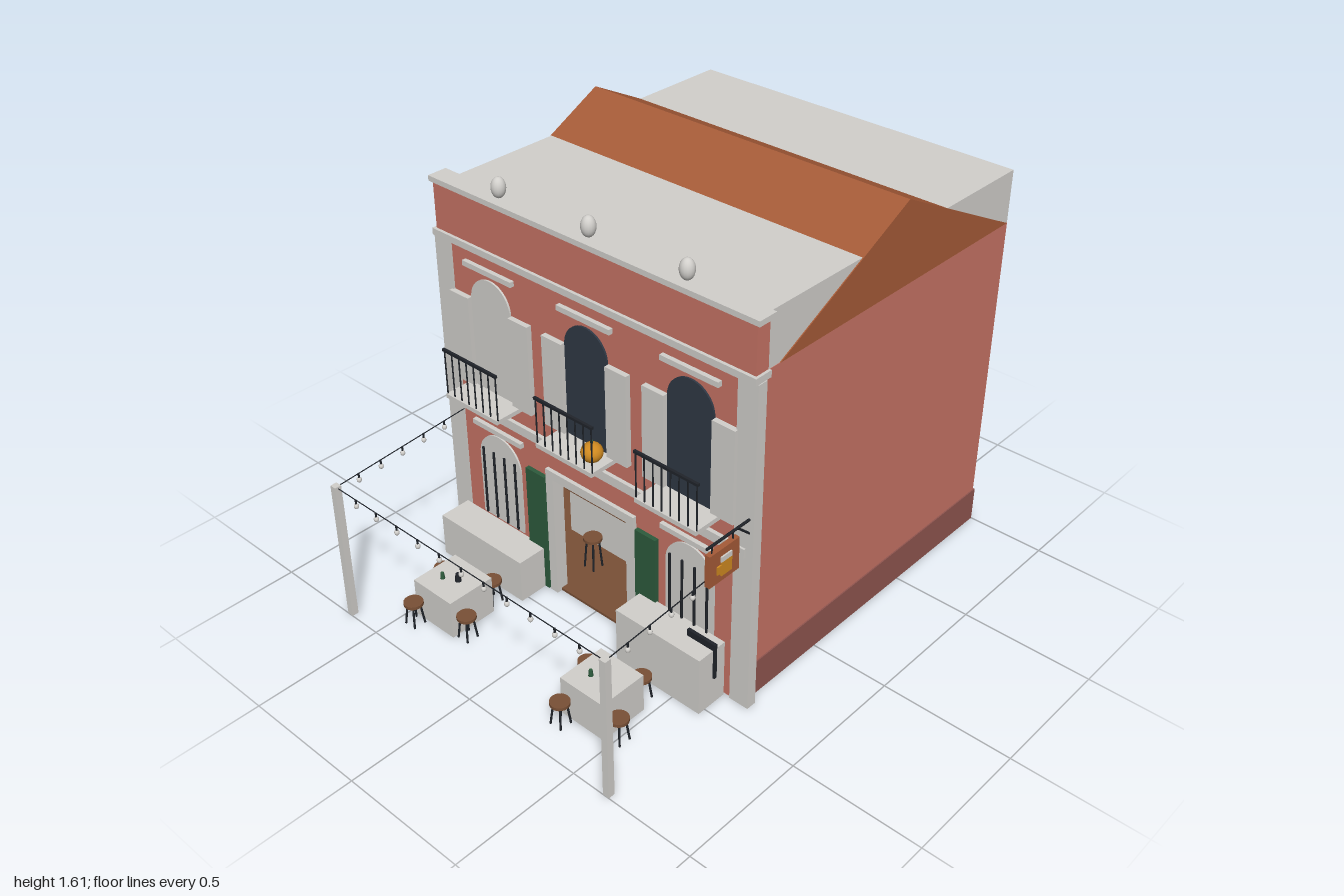
import * as THREE from 'three';

const paint = (name, color) => {
  const m = new THREE.MeshStandardMaterial({ color });
  m.name = name;
  return m;
};

export function createModel() {
  const stone = paint('pale stone', 0xd2d0cc);
  const wall = paint('pink plaster', 0xc87465);
  const plinth = paint('dark pink plinth', 0x90554f);
  const tile = paint('roof tile', 0xa65b38);
  const wood = paint('wood', 0x795036);
  const glass = paint('navy glass', 0x2f3844);
  const iron = paint('black iron', 0x20242a);
  const green = paint('green', 0x2d5b3d);
  const amber = paint('amber', 0xd08a20);
  const red = paint('soft red', 0xb5524a);

  const root = new THREE.Group();
  root.name = 'cafeBuilding';
  const group = (name, parent = root) => {
    const g = new THREE.Group();
    g.name = name;
    parent.add(g);
    return g;
  };
  const add = (p, name, geo, mat, x = 0, y = 0, z = 0) => {
    const m = new THREE.Mesh(geo, mat);
    m.name = name;
    m.position.set(x, y, z);
    p.add(m);
    return m;
  };
  // box given by its limits
  const box = (p, name, mat, x0, x1, y0, y1, z0, z1) =>
    add(p, name, new THREE.BoxGeometry(x1 - x0, y1 - y0, z1 - z0), mat, (x0 + x1) / 2, (y0 + y1) / 2, (z0 + z1) / 2);
  // thin rod between two points
  const rod = (p, name, mat, a, b, r = 0.003) => {
    const A = new THREE.Vector3(...a), B = new THREE.Vector3(...b), d = B.clone().sub(A);
    const m = add(p, name, new THREE.CylinderGeometry(r, r, d.length(), 6), mat);
    m.position.copy(A).add(B).multiplyScalar(0.5);
    m.quaternion.setFromUnitVectors(new THREE.Vector3(0, 1, 0), d.normalize());
    return m;
  };
  const ball = (p, name, mat, x, y, z, r, sy = 1) => {
    const m = add(p, name, new THREE.SphereGeometry(r, 16, 12), mat, x, y, z);
    m.scale.y = sy;
    return m;
  };
  const arch = (p, name, mat, x, y0, y1, r, z, depth) => {
    const s = new THREE.Shape();
    s.moveTo(-r, y0);
    s.lineTo(r, y0);
    s.lineTo(r, y1 - r);
    s.absarc(0, y1 - r, r, 0, Math.PI, false);
    s.closePath();
    return add(p, name, new THREE.ExtrudeGeometry(s, { depth, bevelEnabled: false, curveSegments: 16 }), mat, x, 0, z);
  };

  // walls, with the doorway cut out of the front
  const shell = group('walls');
  const face = new THREE.Shape();
  [[-0.69, 0], [-0.18, 0], [-0.18, 0.51], [0.18, 0.51], [0.18, 0], [0.69, 0], [0.69, 1.29], [-0.69, 1.29]]
    .forEach(([x, y], i) => (i ? face.lineTo(x, y) : face.moveTo(x, y)));
  add(shell, 'frontWall', new THREE.ExtrudeGeometry(face, { depth: 0.035, bevelEnabled: false }), wall, 0, 0, 0.36);
  for (const s of [-1, 1]) {
    const x0 = s < 0 ? -0.69 : 0.66;
    box(shell, 'sideWall', wall, x0, x0 + 0.03, 0.14, 1.29, -0.995, 0.36);
    const b0 = s < 0 ? -0.695 : 0.66;
    box(shell, 'sidePlinth', plinth, b0, b0 + 0.035, 0, 0.14, -1, 0.36);
    const p0 = s < 0 ? -0.725 : 0.645;
    box(shell, 'pilaster', stone, p0, p0 + 0.08, 0, 1.29, 0.362, 0.402);
  }
  box(shell, 'backWall', wall, -0.66, 0.66, 0.14, 1.29, -0.995, -0.96);
  box(shell, 'backPlinth', plinth, -0.66, 0.66, 0, 0.14, -1, -0.96);
  box(shell, 'floor', wood, -0.66, 0.66, 0.002, 0.012, -0.96, 0.39);
  box(shell, 'ceiling', stone, -0.66, 0.66, 0.58, 0.6, -0.96, 0.36);

  // attic block, gabled roof and parapet
  const roof = group('roof');
  box(roof, 'attic', stone, -0.688, 0.688, 1.29, 1.49, -0.998, 0.345);
  const gable = new THREE.Shape();
  gable.moveTo(-0.26, 1.291);
  gable.lineTo(0.99, 1.291);
  gable.lineTo(0.365, 1.607);
  gable.closePath();
  add(roof, 'gabledRoof', new THREE.ExtrudeGeometry(gable, { depth: 1.384, bevelEnabled: false }), tile, -0.692).rotation.y = Math.PI / 2;
  box(roof, 'cornice', stone, -0.722, 0.722, 1.29, 1.315, 0.34, 0.412);
  box(roof, 'parapet', wall, -0.712, 0.712, 1.315, 1.49, 0.343, 0.4);
  box(roof, 'parapetCap', stone, -0.725, 0.725, 1.49, 1.51, 0.33, 0.408);
  for (const x of [-0.413, 0, 0.413]) ball(roof, 'finial', stone, x, 1.552, 0.37, 0.026, 1.45);

  // upper windows with shutters and balconies
  [-0.457, 0, 0.457].forEach((x, i) => {
    const w = group('upperWindow');
    arch(w, 'windowPane', i ? glass : stone, x, 0.745, 1.198, 0.097, 0.39, 0.012);
    for (const s of [-1, 1]) {
      const c = x + s * 0.147;
      box(w, 'shutter', stone, c - 0.047, c + 0.047, 0.745, 1.1, 0.39, 0.416);
    }
    box(w, 'lintel', stone, x - 0.12, x + 0.12, 1.222, 1.242, 0.39, 0.412);
    const b = group('balcony', w);
    box(b, 'balconySlab', stone, x - 0.132, x + 0.132, 0.73, 0.747, 0.39, 0.52);
    box(b, 'handrail', iron, x - 0.136, x + 0.136, 0.92, 0.93, 0.508, 0.518);
    for (let k = 0; k < 8; k++) {
      const bx = x - 0.13 + k * 0.26 / 7;
      rod(b, 'baluster', iron, [bx, 0.745, 0.513], [bx, 0.925, 0.513]);
    }
  });
  ball(root, 'pumpkin', amber, 0.087, 0.788, 0.47, 0.039, 0.92);
  rod(root, 'pumpkinStem', green, [0.087, 0.82, 0.47], [0.087, 0.835, 0.47], 0.005);
  box(root, 'beltCourse', stone, -0.695, 0.695, 0.632, 0.668, 0.36, 0.41);

  // ground floor windows with bars
  for (const x of [-0.46, 0.46]) {
    const w = group('lowerWindow');
    arch(w, 'windowPanel', stone, x, 0.18, 0.555, 0.107, 0.39, 0.012);
    for (const dx of [-0.083, -0.028, 0.028, 0.083])
      rod(w, 'windowBar', iron, [x + dx, 0.19, 0.408], [x + dx, 0.482, 0.408], 0.005);
    box(w, 'lintel', stone, x - 0.125, x + 0.125, 0.57, 0.59, 0.39, 0.412);
  }

  // doorway
  const door = group('doorway');
  for (const s of [-1, 1]) {
    box(door, 'doorJamb', stone, s * 0.195 - 0.018, s * 0.195 + 0.018, 0, 0.545, 0.36, 0.41);
    box(door, 'doorLeaf', green, s * 0.267 - 0.047, s * 0.267 + 0.047, 0, 0.502, 0.39, 0.412);
  }
  box(door, 'doorHead', stone, -0.177, 0.177, 0.51, 0.545, 0.36, 0.41);

  // stools with splayed legs
  const stool = (x, z, h = 0.1) => {
    const g = group('stool');
    add(g, 'stoolSeat', new THREE.CylinderGeometry(0.036, 0.036, 0.012, 20), wood, x, h - 0.006, z);
    for (let k = 0; k < 4; k++) {
      const a = Math.PI / 4 + k * Math.PI / 2, c = Math.cos(a), s = Math.sin(a);
      rod(g, 'stoolLeg', iron, [x + c * 0.022, h - 0.01, z + s * 0.022], [x + c * 0.034, 0.001, z + s * 0.034], 0.004);
    }
  };
  const bottle = (p, mat, x, y, z, h = 0.025, r = 0.008) =>
    add(p, 'bottle', new THREE.CylinderGeometry(r * 0.7, r, h, 10), mat, x, y + h / 2, z);

  // bar inside
  const bar = group('barInterior');
  box(bar, 'rearPartition', wall, -0.66, 0.66, 0.012, 0.58, -0.24, -0.22);
  box(bar, 'counter', stone, -0.4, 0.4, 0.012, 0.205, -0.02, 0.12);
  box(bar, 'counterTop', wood, -0.41, 0.41, 0.205, 0.217, -0.03, 0.13);
  box(bar, 'menuBoard', stone, -0.2, -0.02, 0.34, 0.47, -0.22, -0.212);
  const colours = [glass, red, stone, iron, amber, green];
  [0.27, 0.36, 0.495].forEach((y, j) => {
    box(bar, 'shelf', wood, -0.4, 0.4, y - 0.012, y, -0.22, -0.14);
    for (let k = 0; k < 14; k++)
      bottle(bar, colours[(k * 5 + j * 2) % 6], -0.36 + k * 0.055, y, -0.17, j === 2 ? 0.02 : 0.045, 0.011);
  });
  box(bar, 'beerTap', wood, -0.09, -0.07, 0.217, 0.275, 0.05, 0.07);
  for (const x of [0.06, 0.1]) bottle(bar, amber, x, 0.217, 0.06, 0.025, 0.01);
  ball(bar, 'hangingLamp', stone, -0.12, 0.482, 0.2, 0.02, 1.2);
  rod(bar, 'lampCord', iron, [-0.12, 0.5, 0.2], [-0.12, 0.58, 0.2]);
  stool(0.17, 0.22, 0.15);
  stool(-0.18, 0.22, 0.15);

  // terrace benches
  box(root, 'leftBench', stone, -0.665, -0.24, 0, 0.175, 0.402, 0.53);
  box(root, 'rightBench', stone, 0.24, 0.62, 0, 0.235, 0.402, 0.53);
  box(root, 'benchPanel', iron, 0.505, 0.628, 0.115, 0.262, 0.45, 0.462);

  // tables, bottles and stools
  for (const x of [-0.373, 0.372]) {
    const t = group('table');
    box(t, 'tableBlock', stone, x - 0.098, x + 0.098, 0, 0.155, 0.638, 0.832);
    bottle(t, x < 0 ? iron : red, x + 0.022, 0.155, 0.728, 0.032, 0.012);
    bottle(t, green, x - 0.03, 0.155, 0.756, 0.026, 0.009);
    for (const [dx, z] of [[-0.132, 0.67], [0.053, 0.6], [0.133, 0.793], [-0.063, 0.87]]) stool(x + dx, z);
  }

  // posts and strings of lights
  const lights = group('stringLights');
  const string = (a, b, n) => {
    rod(lights, 'lightCord', iron, a, b, 0.002);
    for (let k = 1; k < n; k++) {
      const p = a.map((v, i) => v + (b[i] - v) * k / n);
      ball(lights, 'bulb', stone, p[0], p[1] - 0.026, p[2], 0.009, 1.2);
      rod(lights, 'bulbHolder', iron, [p[0], p[1] - 0.018, p[2]], p, 0.004);
    }
  };
  for (const s of [-1, 1]) {
    const x = s * 0.645;
    box(lights, 'post', stone, x - 0.013, x + 0.013, 0, 0.57, 0.974, 1);
    string([x, 0.562, 0.987], [x, 0.6, 0.4], 6);
  }
  string([-0.645, 0.562, 0.987], [0.645, 0.562, 0.987], 12);

  // hanging sign
  const sign = group('hangingSign');
  box(sign, 'signBoard', tile, 0.697, 0.717, 0.638, 0.762, 0.46, 0.6);
  for (const x of [0.6945, 0.7195]) {
    box(sign, 'mugBody', amber, x - 0.003, x + 0.003, 0.662, 0.715, 0.5, 0.55);
    box(sign, 'mugHandle', amber, x - 0.003, x + 0.003, 0.675, 0.705, 0.55, 0.568);
    box(sign, 'mugFoam', stone, x - 0.003, x + 0.003, 0.715, 0.735, 0.5, 0.55);
  }
  rod(sign, 'bracketArm', iron, [0.707, 0.79, 0.39], [0.707, 0.79, 0.605], 0.005);
  rod(sign, 'bracketBrace', iron, [0.707, 0.735, 0.4], [0.707, 0.79, 0.46], 0.004);
  for (const z of [0.48, 0.58]) rod(sign, 'signHanger', iron, [0.707, 0.76, z], [0.707, 0.79, z]);

  return root;
}
